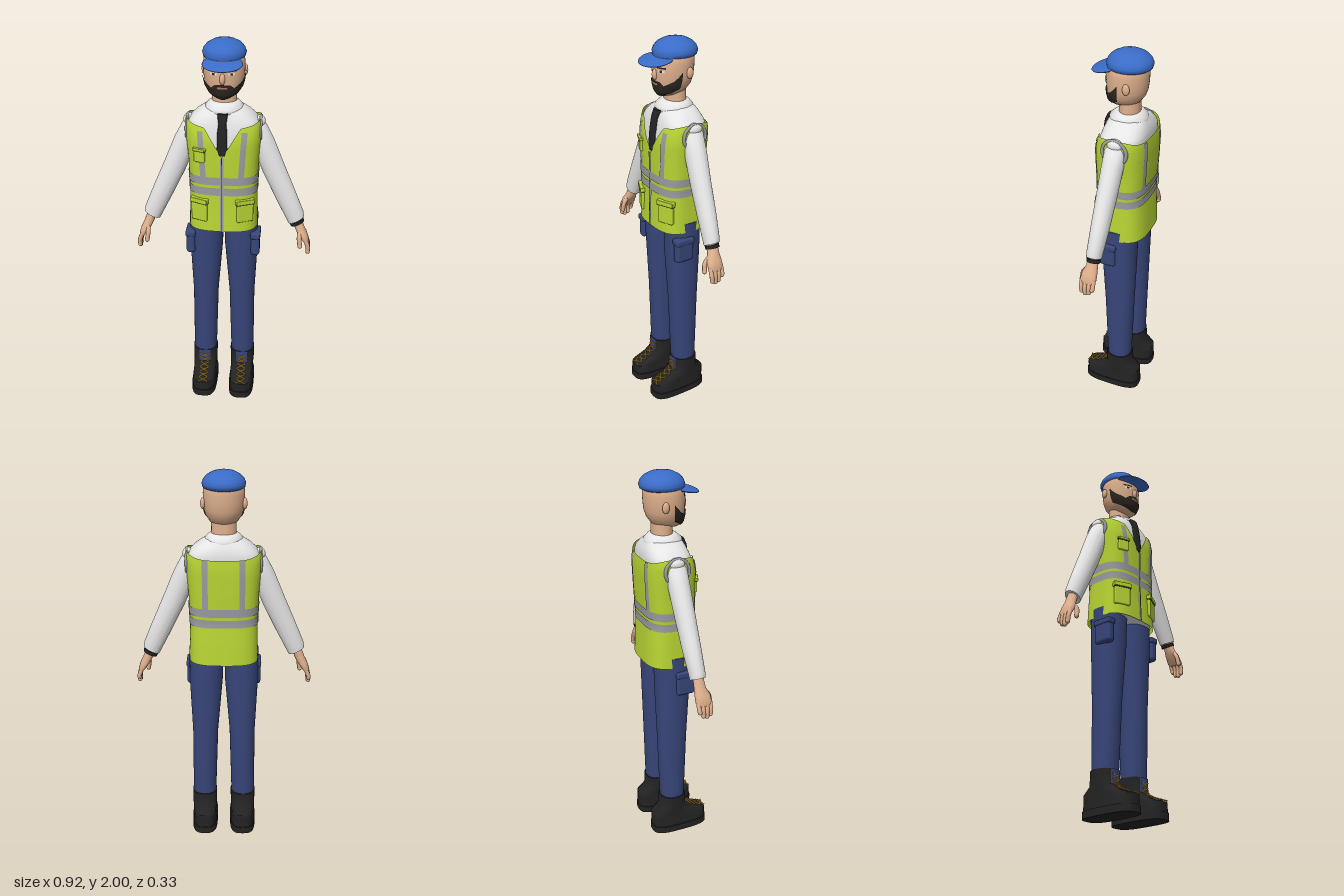
import * as THREE from 'three';
import { toCreasedNormals } from 'three/addons/utils/BufferGeometryUtils.js';
import { RoundedBoxGeometry } from 'three/addons/geometries/RoundedBoxGeometry.js';

const paint = (name, color) => Object.assign(new THREE.MeshStandardMaterial({ color, side: THREE.DoubleSide }), { name });
const lime = paint('lime', 0xb9d634), silver = paint('silver', 0x9a9ca0), white = paint('white', 0xe6e6e6);
const navy = paint('navy', 0x38467a), black = paint('black', 0x232323), gold = paint('gold', 0xc4922a);
const blue = paint('blue', 0x3a6cc8), skin = paint('skin', 0xdfb08d), hair = paint('hair', 0x2c2621), lip = paint('lip', 0xb07a66);

// A section is [y, cx, cz, rx, rz, n = 2, tilt = 0]: a level superellipse, tilted sideways if wanted.
const full = (s) => [s[0], s[1], s[2], s[3], s[4], s[5] ?? 2, s[6] ?? 0];
function sectionAt(secs, y) {
  let i = 0;
  while (i < secs.length - 2 && y > secs[i + 1][0]) i++;
  const a = full(secs[i]), b = full(secs[i + 1]);
  const t = THREE.MathUtils.clamp((y - a[0]) / (b[0] - a[0]), 0, 1);
  return a.map((v, k) => v + (b[k] - v) * t);
}
const power = (c, p) => Math.sign(c) * Math.abs(c) ** p;
function ringPoint(s, angle, off = 0) {
  const [y, cx, cz, rx, rz, n, tilt] = full(s);
  const dx = (rx + off) * power(Math.cos(angle), 2 / n);
  return [cx + dx, y + tilt * dx, cz + (rz + off) * power(Math.sin(angle), 2 / n)];
}
// Sheet of quads from a rule (u, v) -> point
function grid(nu, nv, rule) {
  const pos = [], index = [];
  for (let j = 0; j <= nv; j++) for (let i = 0; i <= nu; i++) pos.push(...rule(i / nu, j / nv));
  for (let j = 0; j < nv; j++) for (let i = 0; i < nu; i++) {
    const a = j * (nu + 1) + i, b = a + nu + 1;
    index.push(a, b, a + 1, a + 1, b, b + 1);
  }
  const g = new THREE.BufferGeometry();
  g.setAttribute('position', new THREE.Float32BufferAttribute(pos, 3));
  g.setIndex(index);
  return toCreasedNormals(g, 0.9);
}
// Closed solid through the sections
function loft(secs, seg = 40) {
  const tip = (s) => [s[0], s[1], s[2], 0, 0];
  const all = [tip(secs[0]), ...secs, tip(secs[secs.length - 1])];
  const nv = all.length - 1;
  return grid(seg, nv, (u, v) => ringPoint(all[Math.round(v * nv)], u * Math.PI * 2));
}
// Thin plate lying on a lofted surface between x0..x1 and y0..y1
function plate(secs, x0, x1, y0, y1, off, back = false, slant = 0) {
  return grid(8, 8, (u, v) => {
    const y = y0 + (y1 - y0) * v, s = sectionAt(secs, y);
    const x = (back ? x0 + (x1 - x0) * u : x1 + (x0 - x1) * u) + slant * (1 - v);
    const a = Math.acos(power(THREE.MathUtils.clamp((x - s[1]) / s[3], -1, 1), s[5] / 2));
    return ringPoint(s, back ? -a : a, off);
  });
}
// Piecewise-linear lookup in [[x, y], ...]
function lookup(table, x) {
  let i = 0;
  while (i < table.length - 2 && x > table[i + 1][0]) i++;
  const [a, b] = [table[i], table[i + 1]];
  return a[1] + (b[1] - a[1]) * THREE.MathUtils.clamp((x - a[0]) / (b[0] - a[0]), 0, 1);
}

export function createModel() {
  const model = new THREE.Group();
  model.name = 'worker';
  const add = (name, geometry, material, x = 0, y = 0, z = 0) => {
    const mesh = new THREE.Mesh(geometry, material);
    mesh.name = name;
    mesh.position.set(x, y, z);
    model.add(mesh);
    return mesh;
  };
  const ball = (name, material, p, r) => add(name, new THREE.SphereGeometry(1, 28, 18), material, ...p).scale.set(...r);
  const tube = (name, material, pts, r, tension = 0.5) => add(name, new THREE.TubeGeometry(
    new THREE.CatmullRomCurve3(pts.map((p) => new THREE.Vector3(...p)), false, 'catmullrom', tension), 36, r, 8), material);

  // Head and neck
  const head = [[1.722, 0, 0.015, 0.022, 0.03], [1.73, 0, -0.002, 0.045, 0.055], [1.748, 0, -0.015, 0.07, 0.08],
    [1.78, 0, -0.024, 0.09, 0.094], [1.81, 0, -0.028, 0.098, 0.1], [1.85, 0, -0.03, 0.102, 0.103],
    [1.89, 0, -0.032, 0.102, 0.103], [1.93, 0, -0.034, 0.098, 0.1], [1.96, 0, -0.036, 0.07, 0.075]];
  add('head', loft(head), skin);
  add('neck', loft([[1.63, 0, -0.042, 0.066, 0.056], [1.7, 0, -0.042, 0.062, 0.052], [1.78, 0, -0.042, 0.062, 0.052]]), skin);
  ball('nose', skin, [0, 1.832, 0.072], [0.014, 0.028, 0.016]);

  // Beard with sideburns and moustache
  const beardTop = [[0, 1.806], [0.25, 1.803], [0.42, 1.785], [0.75, 1.812], [0.9, 1.835], [1, 1.855]];
  add('beard', grid(48, 12, (u, v) => {
    const s = Math.abs(u - 0.5) * 2, low = 1.722 + 0.045 * s * s;
    const y = low + (lookup(beardTop, s) - low) * v;
    return ringPoint(sectionAt(head, y), THREE.MathUtils.degToRad(6 + 168 * u), 0.006);
  }), hair);
  add('mouth', plate(head, -0.022, 0.022, 1.784, 1.793, 0.008), lip);
  for (const s of [-1, 1]) {
    const face = (name, m, a, b, y0, y1, off) => add(name, plate(head, s * 0.043 + a, s * 0.043 + b, y0, y1, off), m);
    face('eyeWhite', white, -0.015, 0.015, 1.85, 1.861, 0.002);
    face('pupil', black, -0.006, 0.006, 1.85, 1.861, 0.004);
    face('eyebrow', hair, -0.022, 0.022, 1.868, 1.876, 0.004);
    ball('ear', skin, [s * 0.102, 1.843, -0.062], [0.012, 0.028, 0.018]);
  }

  // Cap
  add('capDome', loft([[1.913, 0, -0.04, 0.09, 0.095], [1.92, 0, -0.04, 0.103, 0.109], [1.938, 0, -0.041, 0.107, 0.113],
    [1.957, 0, -0.041, 0.1, 0.106], [1.976, 0, -0.041, 0.083, 0.088], [1.991, 0, -0.041, 0.056, 0.06],
    [1.998, 0, -0.041, 0.028, 0.03], [2, 0, -0.041, 0.006, 0.006]], 48), blue);
  const brim = add('capBrim', new THREE.SphereGeometry(1, 36, 18), blue, 0, 1.905, 0.066);
  brim.scale.set(0.098, 0.013, 0.082);
  brim.rotation.x = 0.2;

  // Shirt body and collar
  const vest = [[1.03, 0, -0.03, 0.177, 0.135, 3], [1.15, 0, -0.03, 0.174, 0.13, 3], [1.25, 0, -0.028, 0.172, 0.126, 3],
    [1.4, 0, -0.031, 0.179, 0.131, 3], [1.52, 0, -0.033, 0.19, 0.133, 3], [1.58, 0, -0.038, 0.192, 0.125, 3],
    [1.62, 0, -0.04, 0.185, 0.113, 3]];
  const shirt = [...vest.slice(0, 6).map((s) => [s[0] + 0.01, 0, s[2], s[3] - 0.012, s[4] - 0.012, 3]),
    [1.61, 0, -0.04, 0.168, 0.11, 2.8], [1.64, 0, -0.04, 0.138, 0.1, 2.5], [1.67, 0, -0.04, 0.095, 0.085]];
  add('shirtBody', loft(shirt, 64), white);
  add('collar', loft([[1.635, 0, -0.038, 0.088, 0.088], [1.648, 0, -0.037, 0.1, 0.096], [1.667, 0, -0.037, 0.097, 0.094],
    [1.688, 0, -0.04, 0.078, 0.072], [1.695, 0, -0.041, 0.066, 0.058]]), white);

  // Tie
  add('tie', loft([[1.45, 0, 0.095, 0.014, 0.009, 3], [1.48, 0, 0.092, 0.026, 0.01, 3], [1.56, 0, 0.084, 0.025, 0.012, 3],
    [1.61, 0, 0.075, 0.019, 0.016, 3], [1.625, 0, 0.068, 0.022, 0.019, 3], [1.655, 0, 0.055, 0.026, 0.018, 3]], 24), black);

  // Safety vest with V neck
  const vestTop = [[0, 1.44], [0.088, 1.588], [0.15, 1.6], [0.19, 1.615]];
  add('vest', grid(128, 24, (u, v) => {
    const angle = Math.PI * (0.5 + 2 * u), x = Math.abs(ringPoint(vest[4], angle)[0]);
    const top = Math.sin(angle) > 0 ? lookup(vestTop, x) : 1.585 + 0.03 * (x / 0.19) ** 4;
    const y = 1.03 + (top - 1.03) * v;
    return ringPoint(sectionAt(vest, y), angle);
  }), lime);
  for (const [y0, y1] of [[1.233, 1.275], [1.29, 1.333]]) {
    add('reflectiveBand', grid(128, 3, (u, v) =>
      ringPoint(sectionAt(vest, y0 + (y1 - y0) * v), Math.PI * (0.5 + 2 * u), 0.004)), silver);
  }
  add('zip', plate(vest, -0.009, 0.009, 1.03, 1.44, 0.006), silver);
  add('zipLine', plate(vest, -0.002, 0.002, 1.03, 1.44, 0.009), black);

  // Vest pockets, turned to follow the chest
  const pocket = (name, x, y, z, w, h, turn) => {
    const g = new THREE.Group();
    g.name = name;
    g.position.set(x, y, z);
    g.rotation.y = turn;
    const part = (n, geo, m, py, pz) => {
      const mesh = new THREE.Mesh(geo, m);
      mesh.name = n;
      mesh.position.set(0, py, pz);
      g.add(mesh);
    };
    part('pocketBag', new RoundedBoxGeometry(w, h, 0.036, 2, 0.006), lime, 0, 0);
    part('pocketFlap', new RoundedBoxGeometry(w + 0.01, h * 0.2, 0.044, 2, 0.004), lime, h * 0.4, 0.001);
    part('flapShadowSeam', new THREE.BoxGeometry(w + 0.006, 0.004, 0.04), black, h * 0.29, 0);
    model.add(g);
  };

  pocket('chestPocket', -0.11, 1.447, 0.081, 0.058, 0.075, -0.38);

  for (const s of [-1, 1]) {
    const side = (secs) => secs.map((q) => { const f = full(q); f[1] *= s; f[6] *= s; return f; });
    const flip = (pts) => pts.map(([x, y, z]) => [x * s, y, z]);

    // Vest details on each side
    pocket('hipPocket', s * 0.113, 1.148, 0.078, 0.088, 0.125, s * 0.42);
    add('frontStripe', plate(vest, s * 0.108 - 0.014, s * 0.108 + 0.014, 1.333, 1.57, 0.004, false, -s * 0.015), silver);
    add('backStripe', plate(vest, s * 0.09 - 0.014, s * 0.09 + 0.014, 1.333, 1.585, 0.004, true), silver);
    const trim = add('armholeTrim', new THREE.TorusGeometry(0.062, 0.009, 10, 36), silver, s * 0.183, 1.55, -0.038);
    trim.rotation.y = Math.PI / 2;

    // Sleeve
    ball('shoulder', white, [s * 0.178, 1.588, -0.04], [0.028, 0.03, 0.04]);
    add('sleeve', loft(side([[1.06, 0.378, -0.015, 0.04, 0.038, 2, -0.5 * -1], [1.085, 0.37, -0.016, 0.044, 0.04, 2, 0.5],
      [1.2, 0.317, -0.022, 0.05, 0.046, 2, 0.42], [1.34, 0.253, -0.028, 0.054, 0.05, 2, 0.4],
      [1.48, 0.195, -0.035, 0.055, 0.054, 2, 0.35], [1.56, 0.168, -0.038, 0.045, 0.052, 2, 0.2],
      [1.6, 0.158, -0.04, 0.03, 0.035]])), white);

    // Hand with fingers and thumb
    add('palm', loft(side([[0.938, 0.436, -0.004, 0.012, 0.036, 2.6], [0.955, 0.43, -0.005, 0.019, 0.042, 2.6],
      [0.99, 0.412, -0.006, 0.026, 0.039, 2.4], [1.02, 0.397, -0.012, 0.026, 0.03], [1.08, 0.375, -0.015, 0.026, 0.026]]), 28), skin);
    [-0.035, -0.014, 0.007, 0.027].forEach((z, i) => {
      const end = [0.9, 0.878, 0.872, 0.882][i];
      tube('finger', skin, flip([[0.43, 0.96, z], [0.445, 0.92, z], [0.446, end + 0.008, z * 0.9]]), 0.0115);
      ball('fingertip', skin, [s * 0.446, end + 0.008, z * 0.9], [0.0115, 0.0115, 0.0115]);
    });
    tube('thumb', skin, flip([[0.4, 1.0, 0.015], [0.398, 0.97, 0.036], [0.404, 0.93, 0.042]]), 0.012);
    ball('thumbTip', skin, [s * 0.404, 0.93, 0.042], [0.012, 0.014, 0.012]);

    // Trouser leg and cargo pocket
    add('trouserLeg', loft(side([[0.16, 0.105, -0.032, 0.06, 0.06], [0.23, 0.105, -0.032, 0.063, 0.066, 2.2],
      [0.6, 0.099, -0.031, 0.068, 0.079, 2.2], [0.9, 0.093, -0.028, 0.087, 0.091, 2.2], [1.08, 0.091, -0.028, 0.089, 0.094, 2.2]])), navy);
    add('cargoPocket', new RoundedBoxGeometry(0.046, 0.125, 0.1, 3, 0.016), navy, s * 0.17, 0.932, 0.012);
    add('cargoFlap', new RoundedBoxGeometry(0.052, 0.035, 0.108, 3, 0.01), navy, s * 0.17, 0.985, 0.012);

    // Boot
    const sole = [[0, 0.105, 0.007, 0.07, 0.158, 3.2], [0.038, 0.105, 0.007, 0.07, 0.158, 3.2]];
    const upper = [[0.038, 0.105, 0.006, 0.065, 0.154, 3.2], [0.09, 0.105, 0.006, 0.063, 0.154, 3.2],
      [0.115, 0.105, -0.03, 0.063, 0.118, 3], [0.15, 0.105, -0.034, 0.066, 0.07, 2.6], [0.225, 0.105, -0.033, 0.067, 0.069, 2.4]];
    add('bootSole', loft(side(sole)), black);
    add('bootUpper', loft(side(upper)), black);
    add('bootTongue', plate(side(upper), s * 0.105 - 0.03, s * 0.105 + 0.03, 0.15, 0.226, 0.003), navy);
    const rows = [[0.158, 0.096], [0.13, 0.105], [0.1, 0.116], [0.07, 0.131], [0.045, 0.15], [0.039, 0.178], [0.039, 0.202]];
    for (const d of [-1, 1]) {
      tube('lace', gold, rows.map(([z, y], i) => [s * 0.105 + (i % 2 ? d : -d) * 0.026, y, z]), 0.0035, 0.05);
    }
  }

  // Watch strap on the left wrist
  add('watchStrap', loft([[1.038, 0.386, -0.015, 0.034, 0.034, 2, 0.45], [1.056, 0.38, -0.015, 0.036, 0.035, 2, 0.45]], 28), black);
  return model;
}
